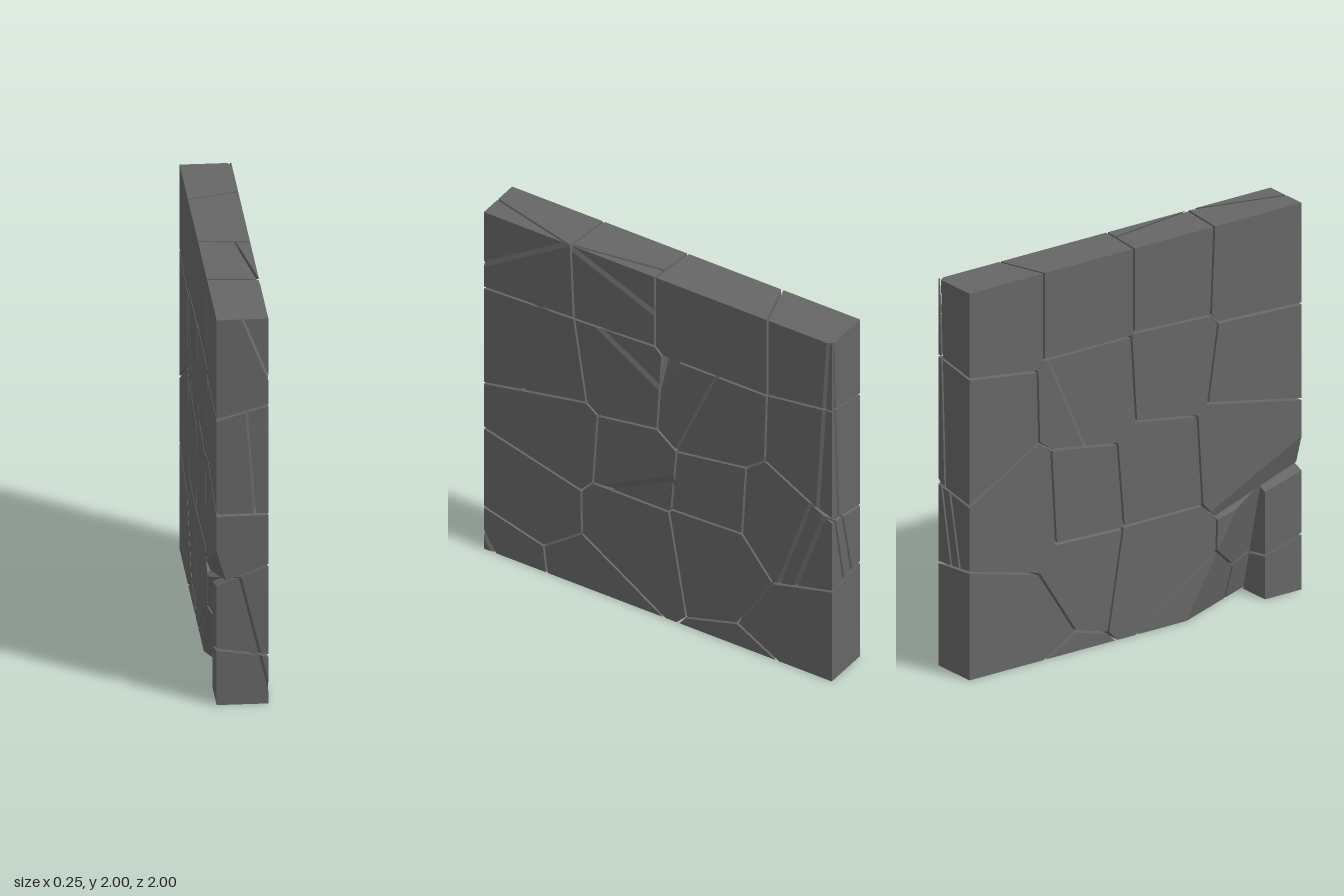
import * as THREE from 'three';
import { ConvexGeometry } from 'three/addons/geometries/ConvexGeometry.js';

const HALF = 0.125, GAP = 0.006;
const stone = new THREE.MeshStandardMaterial({ color: 0x666666, flatShading: true });

// One seed (x, y, z) per stone, in rows from the top; a stone is all that lies nearest its seed
const seeds = [
  [-.1, 1.78, .7], [-.05, 1.8, .24], [0, 1.8, -.24], [-.2, 1.8, -.88],
  [.05, 1.26, .68], [0, 1.33, .22], [0, 1.3, -.24], [-.1, 1.28, -.95],
  [.05, .85, .6], [0, .82, .14], [0, .78, -.32], [0, .76, -.66],
  [.1, .5, -.33], [-.05, .2, -.8], [.1, -.25, -.54], [.1, .42, .14],
  [.22, .41, .72], [.15, 0, .42], [.15, -.05, .85],
].map((p) => new THREE.Vector3(...p));

// Extra cracks: stone number, line on the +x face (z, y to z, y), lean through the wall
const cracks = [
  [0, 1, 1.69, .52, 2, -2.1],
  [1, .46, 1.97, 0, 1.78, -2.7],
  [3, -.98, 2, -.92, 1.01, -1.5],
  [4, .65, 1.49, .76, 1.05, 3.3],
  [5, .33, 1.57, 0, 1.36, -2.7],
  [6, -.34, 1.56, -.1, 1.01, -.7],
  [7, -.62, 1.11, -.85, 1.02, .8],
  [7, -.98, 2, -.92, 1.01, -1.5],
  [9, .32, .63, 0, .8, 2],
  [11, -.88, 1.01, -.7, .48, -1.5],
  [11, -.97, 1, -.79, .48, -1.7],
];

// Plane through a line on the +x face, leaning as it goes in; its positive side is towards +x
function slit(z1, y1, z2, y2, lean) {
  const len = Math.hypot(z2 - z1, y2 - y1);
  const normal = new THREE.Vector3(lean, (z2 - z1) / len, (y1 - y2) / len).normalize();
  const plane = new THREE.Plane().setFromNormalAndCoplanarPoint(normal, new THREE.Vector3(HALF, y1, z1));
  return lean < 0 ? plane.negate() : plane;
}

// The two sides of a plane, each drawn back to leave a narrow gap
const front = (plane) => new THREE.Plane(plane.normal, plane.constant - GAP);
const behind = (plane) => front(plane.clone().negate());

// Outline of the wall, as planes facing inwards
const outline = [
  [1, 0, 0, HALF], [-1, 0, 0, HALF], [0, 1, 0, 0], [0, -1, 0, 2], [0, 0, 1, 1], [0, 0, -1, 1],
].map(([x, y, z, w]) => new THREE.Plane(new THREE.Vector3(x, y, z), w));

function stonePlanes(seed) {
  const walls = seeds.filter((other) => other !== seed).map((other) => front(
    new THREE.Plane().setFromNormalAndCoplanarPoint(
      seed.clone().sub(other).normalize(), seed.clone().lerp(other, 0.5))));
  return [...outline, ...walls];
}

// Corners of a solid: where three of its planes meet inside all the others
function corners(planes) {
  const points = [];
  const bc = new THREE.Vector3(), ca = new THREE.Vector3(), ab = new THREE.Vector3();
  for (let i = 0; i < planes.length; i++) for (let j = 0; j < i; j++) for (let k = 0; k < j; k++) {
    const [a, b, c] = [planes[i], planes[j], planes[k]];
    bc.crossVectors(b.normal, c.normal);
    const det = a.normal.dot(bc);
    if (Math.abs(det) < 1e-5) continue;
    ca.crossVectors(c.normal, a.normal);
    ab.crossVectors(a.normal, b.normal);
    const p = new THREE.Vector3().addScaledVector(bc, -a.constant)
      .addScaledVector(ca, -b.constant).addScaledVector(ab, -c.constant).divideScalar(det);
    if (planes.every((q) => q.distanceToPoint(p) > -1e-6)
      && points.every((q) => q.distanceTo(p) > 1e-4)) points.push(p);
  }
  return points;
}

// Broken-away places: the hollow low on the -x side, the chip above it, the notch on the +x side
const hollow = slit(.945, 0, 1.125, .3, 2.14);
const chip = slit(1, -.06, .69, -.21, -3);
const notch = slit(-.12, 1.54, 0, 1.33, 1.4);
const cornerOnly = new THREE.Plane(new THREE.Vector3(0, 0, 1), -0.78);

export function createModel() {
  const wall = new THREE.Group();
  wall.name = 'crackedWall';
  const add = (planes, name) => {
    const points = corners(planes);
    if (points.length < 4) return;
    const mesh = new THREE.Mesh(new ConvexGeometry(points), stone);
    mesh.name = name;
    wall.add(mesh);
  };

  seeds.forEach((seed, i) => {
    let pieces = [stonePlanes(seed)];
    if (i === 6) pieces[0].push(behind(notch));
    if (i === 8) pieces[0].push(front(chip));
    if (i >= 16) {
      // Behind the hollow only the block at the very corner is left
      add([...pieces[0], behind(hollow), cornerOnly], `cornerBlock${i + 1}`);
      pieces[0].push(front(hollow));
    }
    for (const [index, ...line] of cracks) {
      if (index !== i) continue;
      const plane = slit(...line);
      pieces = pieces.flatMap((p) => [[...p, front(plane)], [...p, behind(plane)]]);
    }
    pieces.forEach((p, k) => add(p, `stone${i + 1}piece${k + 1}`));
  });
  return wall;
}
